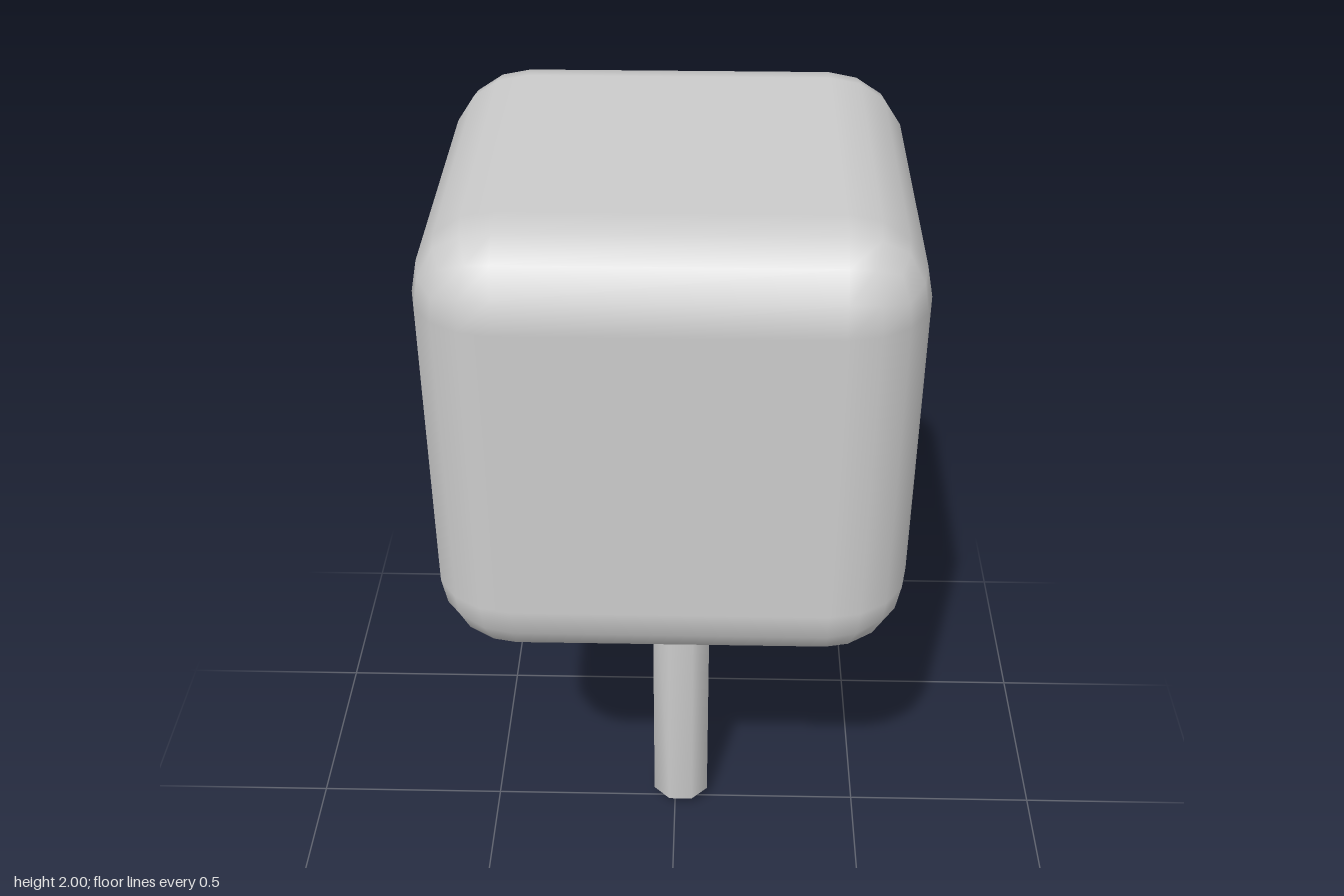
import * as THREE from 'three';
import { mergeVertices } from 'three/addons/utils/BufferGeometryUtils.js';
import { ConvexGeometry } from 'three/addons/geometries/ConvexGeometry.js';

const grey = () => new THREE.MeshStandardMaterial({ color: 0xcccccc });

// Cube whose edges and corners are rounded in four equal steps
function roundedCube(half, radius) {
  const geo = new THREE.BoxGeometry(5, 5, 5, 5, 5, 5);
  const pos = geo.attributes.position, nor = geo.attributes.normal;
  const p = new THREE.Vector3(), dir = new THREE.Vector3();
  const bend = (k) => Math.sign(k) * Math.tan((Math.abs(k) - 0.5) * Math.PI / 8);
  for (let i = 0; i < pos.count; i++) {
    p.fromBufferAttribute(pos, i);
    dir.set(bend(p.x), bend(p.y), bend(p.z)).normalize();
    nor.setXYZ(i, dir.x, dir.y, dir.z);
    p.set(Math.sign(p.x), Math.sign(p.y), Math.sign(p.z))
      .multiplyScalar(half - radius).addScaledVector(dir, radius);
    pos.setXYZ(i, p.x, p.y, p.z);
  }
  return geo;
}

// Square bar with one chamfer along every edge, shaded smooth
function chamferedBar(half, halfHeight, chamfer) {
  const points = [];
  const a = half - chamfer, h = halfHeight - chamfer;
  for (const x of [-1, 1]) for (const y of [-1, 1]) for (const z of [-1, 1]) {
    points.push(
      new THREE.Vector3(x * half, y * h, z * a),
      new THREE.Vector3(x * a, y * halfHeight, z * a),
      new THREE.Vector3(x * a, y * h, z * half));
  }
  const hull = new ConvexGeometry(points);
  hull.deleteAttribute('normal');
  const geo = mergeVertices(hull, 1e-4);
  geo.computeVertexNormals();
  return geo;
}

export function createModel() {
  const model = new THREE.Group();
  model.name = 'cubeOnStick';

  const cube = new THREE.Mesh(roundedCube(0.54, 0.185), grey());
  cube.name = 'cube';
  cube.position.y = 1.46;

  // The stick sits slightly off centre and runs a little way into the cube
  const stick = new THREE.Mesh(chamferedBar(0.074, 0.5, 0.043), grey());
  stick.name = 'stick';
  stick.position.set(0.016, 0.5, -0.016);

  model.add(cube, stick);
  return model;
}
